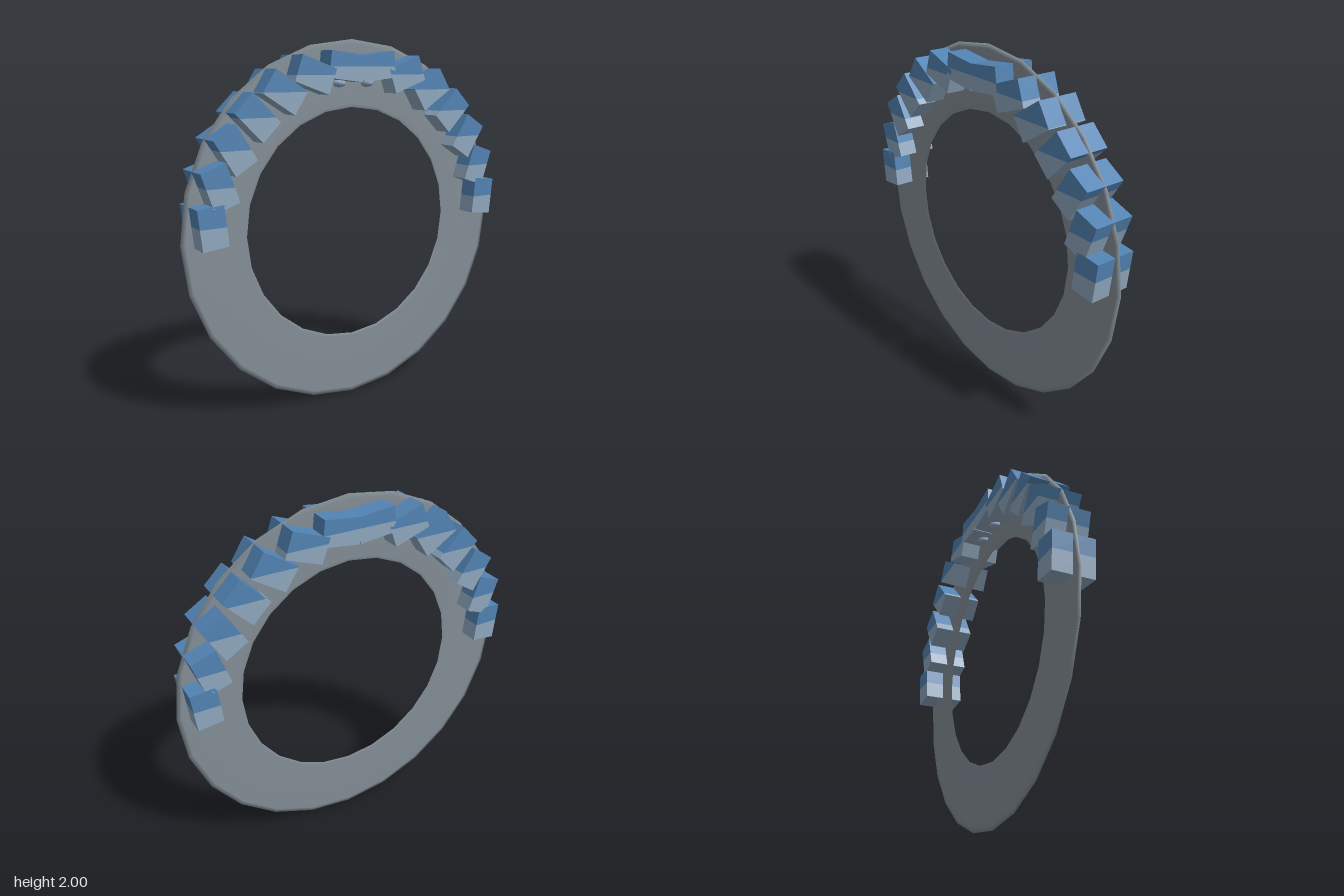
import * as THREE from 'three';

const BLOCK_W = 0.14, BLOCK_L = 0.21, BLOCK_D = 0.23;

// Keeps the half of a convex polygon on one side of y = 0
function halfOf(points, sign) {
  const out = [];
  points.forEach((a, i) => {
    const b = points[(i + 1) % points.length];
    if (a.y * sign >= 0) out.push(a);
    if (a.y * b.y < 0) out.push(a.clone().lerp(b, a.y / (a.y - b.y)));
  });
  return out;
}

export function createModel() {
  const group = new THREE.Group();
  const grey = new THREE.MeshStandardMaterial({ color: 0x838e96 });
  grey.name = 'ring grey';
  const blue = new THREE.MeshStandardMaterial({ color: 0x5283b3 });
  blue.name = 'steel blue';
  const pale = new THREE.MeshStandardMaterial({ color: 0x8fa7be });
  pale.name = 'pale blue';

  // Thin flat ring with softened rims
  const t = 0.005;
  const profile = [[0.643, 0], [0.66, -t], [0.975, -t], [1, 0], [0.975, t], [0.66, t], [0.643, 0]]
    .map(([r, h]) => new THREE.Vector2(r, h));
  const ringGeometry = new THREE.LatheGeometry(profile, 24);
  ringGeometry.rotateX(Math.PI / 2);
  const ring = new THREE.Mesh(ringGeometry, grey);
  ring.name = 'ring';
  ring.position.y = 1;
  group.add(ring);

  // Block with a blue upper half and a pale lower half
  function addBlock(x, y, tilt, name) {
    const block = new THREE.Group();
    block.name = name;
    block.position.set(x, y, 0);
    const w = BLOCK_W / 2, l = BLOCK_L / 2;
    const corners = [[-w, -l], [w, -l], [w, l], [-w, l]]
      .map(([cx, cy]) => new THREE.Vector2(cx, cy).rotateAround(new THREE.Vector2(), tilt));
    for (const [sign, material, half] of [[1, blue, 'upperHalf'], [-1, pale, 'lowerHalf']]) {
      const geometry = new THREE.ExtrudeGeometry(new THREE.Shape(halfOf(corners, sign)),
        { depth: BLOCK_D, bevelEnabled: false });
      geometry.translate(0, 0, -BLOCK_D / 2);
      const mesh = new THREE.Mesh(geometry, material);
      mesh.name = half;
      block.add(mesh);
    }
    group.add(block);
  }

  for (const [side, label] of [[-1, 'right'], [1, 'left']]) {
    // Seven blocks along each upper quarter of the ring
    for (let i = 0; i < 7; i++) {
      const angle = THREE.MathUtils.degToRad(6 + i * 12.9);
      const r = 0.875 - i * 0.002;
      addBlock(side * r * Math.cos(angle), 1 + r * Math.sin(angle), -side * angle, label + 'Block' + (i + 1));
    }
    // Small stud under each top block
    const stud = new THREE.Mesh(new THREE.SphereGeometry(1, 10, 6), pale);
    stud.name = label + 'Stud';
    stud.scale.set(0.036, 0.022, 0.06);
    stud.position.set(side * 0.088, 1.77, 0);
    group.add(stud);
  }
  return group;
}
